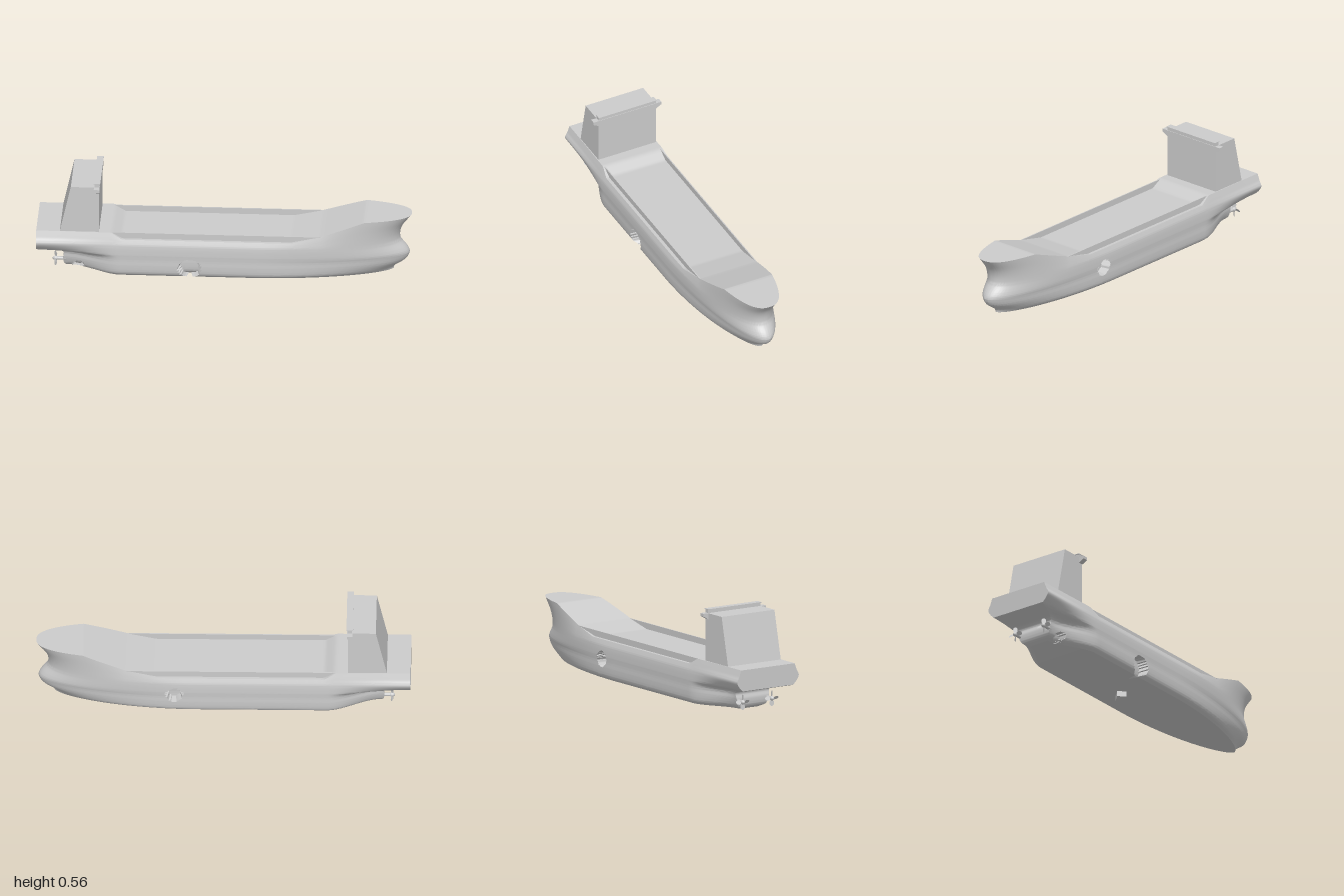
import * as THREE from 'three';
import { toCreasedNormals } from 'three/addons/utils/BufferGeometryUtils.js';

const grey = new THREE.MeshStandardMaterial({ color: 0xcccccc });
const greyThin = new THREE.MeshStandardMaterial({ color: 0xcccccc, side: THREE.DoubleSide });

function add(parent, name, geometry, x = 0, y = 0, z = 0, material = grey) {
  const mesh = new THREE.Mesh(geometry, material);
  mesh.name = name;
  mesh.position.set(x, y, z);
  parent.add(mesh);
  return mesh;
}

// Waterlines from keel to deck edge:
// height, stern x, bow x, stern half-width, midship half-width, bow fullness p and q
const LEVELS = [
  [0.03, -0.82, 0.90, 0.06, 0.172, 1.9, 0.65],
  [0.05, -0.852, 0.908, 0.09, 0.194, 1.9, 0.6],
  [0.09, -0.86, 0.965, 0.105, 0.2, 1.8, 0.55],
  [0.125, -0.855, 0.985, 0.11, 0.2, 1.8, 0.52],
  [0.145, -0.89, 0.982, 0.125, 0.201, 1.9, 0.5],
  [0.165, -1, 0.97, 0.165, 0.202, 2, 0.5],
  [0.21, -1, 0.936, 0.2, 0.2, 2.2, 0.48],
  [0.245, -1, 0.945, 0.187, 0.19, 2.4, 0.44],
  [0.28, -1, 0.998, 0.174, 0.178, 2.5, 0.4],
];
const waterline = new THREE.CubicInterpolant(LEVELS.map((_, i) => i), LEVELS.flat(), 7);

// Deck edge height along the ship
const SHEER = [[-1, 0.28], [-0.6, 0.28], [-0.54, 0.245], [0.36, 0.245], [0.52, 0.28], [0.75, 0.357], [1, 0.357]];
function sheer(x) {
  const i = Math.max(1, SHEER.findIndex((p) => x <= p[0]));
  const [a, b] = [SHEER[i - 1], SHEER[i]];
  return THREE.MathUtils.mapLinear(x, a[0], b[0], a[1], b[1]);
}

// Side recesses: side, x, y, radius, depth
const RECESSES = [[1, -0.18, 0.083, 0.055, 0.05], [-1, 0.26, 0.14, 0.04, 0.05], [1, -0.78, 0.057, 0.025, 0.03]];

function hullPoint(v, t, side) {
  const [y0, xs, xe, ws, wm, p, q] = waterline.evaluate(v);
  const x = THREE.MathUtils.lerp(Math.max(-1, xs), xe, t);
  const top = sheer(x);
  const y = y0 > 0.21 ? 0.21 + ((y0 - 0.21) / 0.07) * (top - 0.21) : y0;
  let w = THREE.MathUtils.lerp(ws, wm, THREE.MathUtils.smoothstep(x, xs, -0.55));
  w += Math.max(0, 0.28 - top) * 0.3 * Math.max(0, (y0 - 0.21) / 0.07);
  const s = Math.max(0, (x - 0.15) / (xe - 0.15));
  w = Math.max(0.002, w * Math.pow(Math.max(0, 1 - Math.pow(s, p)), q));
  for (const [rs, rx, ry, r, depth] of RECESSES) {
    if (rs === side && Math.hypot(x - rx, y - ry) < r) w -= depth;
  }
  return [x, y, side * w];
}

function hullGeometry() {
  const n = 200, rows = 48, ring = 2 * (n + 1);
  const pos = [], index = [];
  for (let j = 0; j <= rows; j++) {
    for (let k = 0; k < ring; k++) {
      const port = k <= n;
      const u = (port ? k : ring - 1 - k) / n;
      pos.push(...hullPoint((j / rows) * (LEVELS.length - 1), 1 - Math.pow(1 - u, 1.4), port ? 1 : -1));
    }
  }
  // Shell, including transom and stem
  for (let j = 0; j < rows; j++) {
    for (let k = 0; k < ring; k++) {
      const a = j * ring + k, b = j * ring + ((k + 1) % ring);
      index.push(a, b, b + ring, a, b + ring, a + ring);
    }
  }
  // Deck and flat bottom
  const d = rows * ring;
  for (let i = 0; i < n; i++) {
    const m = ring - 1 - i;
    index.push(d + i, d + i + 1, d + m - 1, d + i, d + m - 1, d + m);
    index.push(i, m - 1, i + 1, i, m, m - 1);
  }
  const g = new THREE.BufferGeometry();
  g.setAttribute('position', new THREE.Float32BufferAttribute(pos, 3));
  g.setIndex(index);
  return toCreasedNormals(g, 0.6);
}

// Extrusion of an outline, centred on its depth
function slab(points, depth) {
  const shape = new THREE.Shape(points.map(([x, y]) => new THREE.Vector2(x, y)));
  return new THREE.ExtrudeGeometry(shape, { depth, bevelEnabled: false }).translate(0, 0, -depth / 2);
}

function propeller(side) {
  const g = new THREE.Group();
  g.name = side > 0 ? 'leftPropeller' : 'rightPropeller';
  g.position.set(-0.9, 0.083, side * 0.095);
  add(g, 'propellerShaft', new THREE.CylinderGeometry(0.009, 0.009, 0.07, 12).rotateZ(Math.PI / 2), 0.03);
  add(g, 'propellerHub', new THREE.SphereGeometry(0.012, 12, 8).scale(1.4, 1, 1));
  for (let i = 0; i < 4; i++) {
    const blade = new THREE.CircleGeometry(0.017, 10).scale(0.75, 1, 1).rotateY(Math.PI / 2 + 0.6);
    blade.translate(0, 0.026, 0).rotateX((i * Math.PI) / 2);
    add(g, 'propellerBlade', blade, 0, 0, 0, greyThin);
  }
  return g;
}

export function createModel() {
  const ship = new THREE.Group();
  ship.name = 'cargoShip';
  add(ship, 'hull', hullGeometry());

  // Low side walls along the cargo deck
  for (const side of [1, -1]) {
    const wall = slab([[-0.6, 0.278], [-0.54, 0.24], [0.36, 0.24], [0.52, 0.278]], 0.006);
    add(ship, side > 0 ? 'leftDeckWall' : 'rightDeckWall', wall, 0, 0, side * 0.168);
    ship.add(propeller(side));
  }

  // Deckhouse with sloping aft face
  add(ship, 'deckhouse', slab([[-0.875, 0.275], [-0.665, 0.275], [-0.665, 0.541], [-0.815, 0.541]], 0.344));

  // Bridge with wings overhanging both sides
  const wings = slab([[-0.203, 0.541], [-0.203, 0.525], [-0.172, 0.508], [0.172, 0.508], [0.203, 0.525], [0.203, 0.541]], 0.03);
  add(ship, 'bridgeWings', wings.rotateY(Math.PI / 2), -0.676);
  add(ship, 'bridge', new THREE.BoxGeometry(0.024, 0.02, 0.342), -0.676, 0.55, 0);
  add(ship, 'bridgeRoof', new THREE.BoxGeometry(0.036, 0.004, 0.346), -0.676, 0.561, 0);

  // Pod under the keel, turned diagonally
  add(ship, 'keelPod', new THREE.BoxGeometry(0.064, 0.04, 0.05), -0.055, 0.02, -0.03).rotation.y = Math.PI / 4;
  return ship;
}
